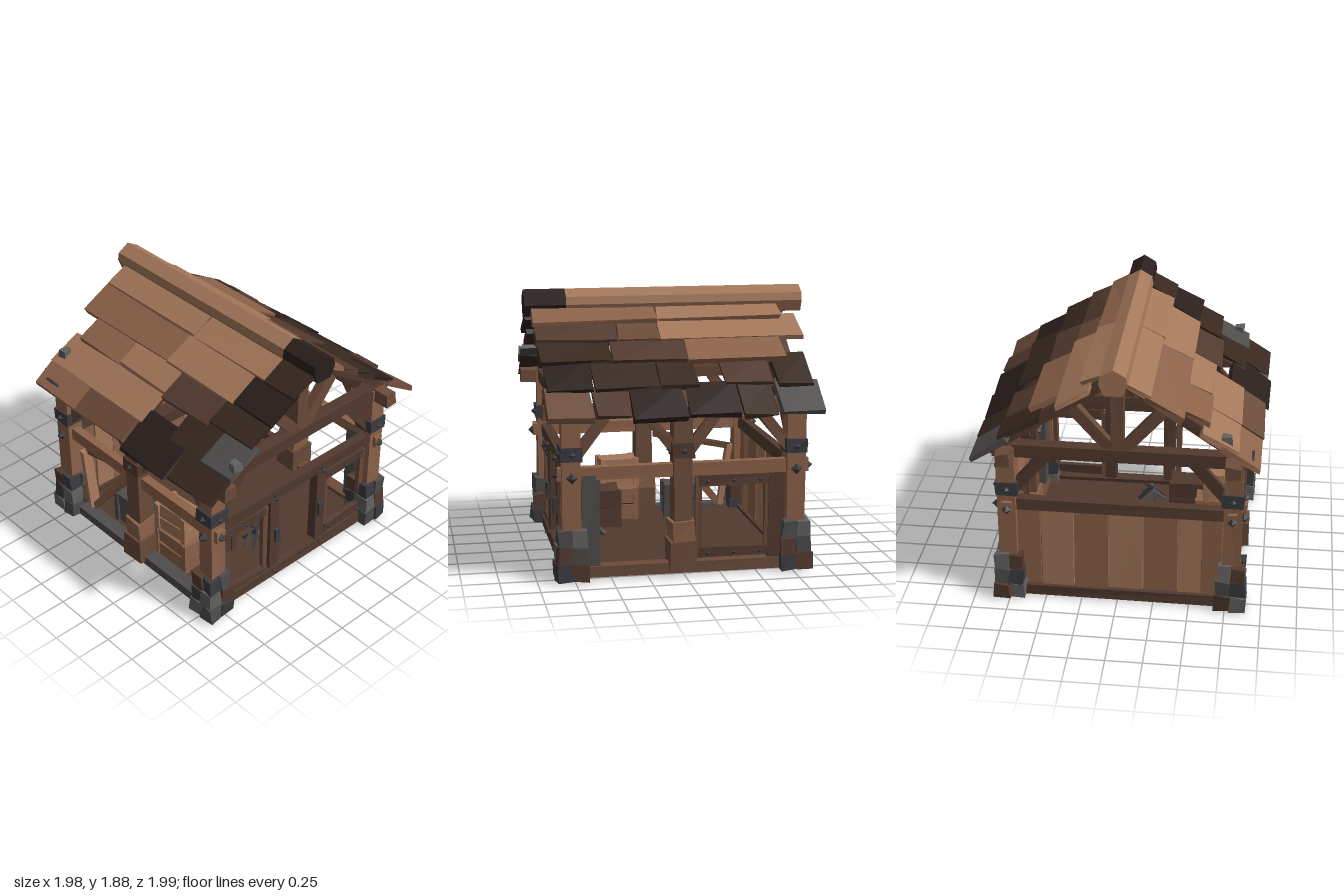
import * as THREE from 'three';

const C = { tan: 0xa4775a, warm: 0x8c6249, mid: 0x6b4b3a, brown: 0x523a2f, dark: 0x38281f, deep: 0x2b1f1c,
  grey: 0x4f4d4c, stone: 0x626160, iron: 0x3c3b40 };
const mats = {};
const mat = (c) => (mats[c] ??= new THREE.MeshStandardMaterial({ color: c, flatShading: true }));

let seed = 7;
const rnd = () => { // seeded, range -1..1
  seed = (seed * 16807) % 2147483647;
  return (seed / 2147483647) * 2 - 1;
};

// Box with each of its eight corners nudged, for a hand-hewn look
function roughBox(w, h, d, j) {
  const g = new THREE.BoxGeometry(w, h, d).toNonIndexed(), p = g.attributes.position;
  const off = Array.from({ length: 8 }, () => [rnd() * j, rnd() * j, rnd() * j]);
  for (let i = 0; i < p.count; i++) {
    const o = off[(p.getX(i) > 0) + 2 * (p.getY(i) > 0) + 4 * (p.getZ(i) > 0)];
    p.setXYZ(i, p.getX(i) + o[0], p.getY(i) + o[1], p.getZ(i) + o[2]);
  }
  g.computeVertexNormals();
  return g;
}

function block(parent, name, [x, y, z], [w, h, d], color, j = 0.006) {
  const m = new THREE.Mesh(roughBox(w, h, d, j), mat(color));
  m.name = name;
  m.position.set(x, y, z);
  parent.add(m);
  return m;
}

// Timber running from a to b; w is its width, h its depth
function beam(parent, name, a, b, w, h, color, j = 0.006) {
  const A = new THREE.Vector3(...a), B = new THREE.Vector3(...b);
  const m = block(parent, name, [0, 0, 0], [w, h, A.distanceTo(B)], color, j);
  m.position.copy(A).add(B).multiplyScalar(0.5);
  m.lookAt(B);
  return m;
}

function part(parent, name) {
  const g = new THREE.Group();
  g.name = name;
  parent.add(g);
  return g;
}

function rivet(parent, x, y, z, r = 0.025, color = C.iron) {
  const m = new THREE.Mesh(new THREE.OctahedronGeometry(r), mat(color));
  m.name = 'rivet';
  m.position.set(x, y, z);
  parent.add(m);
}

// Corner base: three courses of four chunky stones
function stoneBase(parent, x, z) {
  const g = part(parent, 'stoneBase');
  const tones = [C.stone, C.grey, C.brown, C.iron];
  for (let r = 0; r < 3; r++) {
    const s = 0.11 - r * 0.008;
    for (let i = 0; i < 4; i++) {
      block(g, 'stone', [x + (i % 2 ? 1 : -1) * s / 2, 0.085 + r * 0.115, z + (i < 2 ? 1 : -1) * s / 2],
        [s, 0.115, s], tones[(i + r * 3) % 4], 0.011);
    }
  }
}

function post(parent, x, z, corner) {
  const g = part(parent, corner ? 'cornerPost' : 'middlePost');
  beam(g, 'postTimber', [x, 0.04, z], [x, 1.2, z], 0.125, 0.125, corner ? C.warm : C.mid);
  if (corner) stoneBase(g, x, z);
  else {
    block(g, 'postFoot', [x, 0.16, z], [0.19, 0.2, 0.19], C.mid, 0.012);
    block(g, 'postFootUpper', [x, 0.33, z], [0.165, 0.14, 0.17], C.warm, 0.015);
  }
  block(g, 'collar', [x, 0.885, z], [0.15, 0.1, 0.15], corner ? C.iron : C.brown, 0.006);
  for (const s of [-1, 1]) {
    rivet(g, x, 0.885, z + s * 0.08);
    rivet(g, x + s * 0.08, 0.885, z);
  }
}

// Rectangular frame with riveted rails; p maps (u along wall, y, outward offset) to a position
function wallFrame(parent, p, u0, u1, y0, y1) {
  const g = part(parent, 'wallFrame');
  for (const y of [y0, y1]) {
    beam(g, 'frameRail', p(u0, y, 0.01), p(u1, y, 0.01), 0.04, 0.07, C.brown);
    for (const t of [0.12, 0.5, 0.88]) rivet(g, ...p(u0 + (u1 - u0) * t, y, 0.035), 0.018);
  }
  for (const u of [u0, u1]) beam(g, 'frameStile', p(u, y0 - 0.03, 0), p(u, y1 + 0.03, 0), 0.04, 0.04, C.mid);
}

// Slatted crate standing on y
function crate(parent, x, y, z, w, h, d, color, turn = 0) {
  const g = part(parent, 'crate');
  g.position.set(x, y, z);
  g.rotation.y = turn;
  block(g, 'crateCore', [0, h / 2, 0], [w - 0.03, h - 0.02, d - 0.03], C.dark, 0);
  for (const t of [0.25, 0.75]) block(g, 'crateSlats', [0, h * t, 0], [w, h * 0.47, d], color);
  for (const sx of [-1, 1]) for (const sz of [-1, 1]) {
    block(g, 'crateCorner', [sx * w * 0.46, h / 2, sz * d * 0.46], [0.04, h, 0.04], color, 0.004);
  }
}

// Roof surface height at distance z from the ridge
const roofY = (z) => 1.8 - 0.68 * Math.abs(z);

// One course of roof boards, lifted at its lower edge; boards are [x0, x1, color]
function course(parent, side, z0, z1, lift, boards) {
  for (const [x0, x1, color] of boards) {
    const x = (x0 + x1) / 2, a = z1 + rnd() * 0.02;
    beam(parent, 'roofBoard', [x, roofY(z0), side * z0], [x, roofY(a) + lift + rnd() * 0.008, side * a],
      x1 - x0 - 0.008, 0.034, color, 0.011);
  }
}

export function createModel() {
  seed = 7;
  const model = new THREE.Group();
  model.name = 'timberShed';
  const X = 0.765, FRONT = 0.785, BACK = -0.75;

  // Floor and sills
  const base = part(model, 'base');
  block(base, 'floor', [0, 0.055, 0.015], [1.6, 0.05, 1.58], C.brown, 0);
  for (const z of [FRONT, BACK]) beam(base, 'sill', [-0.82, 0.07, z], [0.82, 0.07, z], 0.1, 0.08, z > 0 ? C.grey : C.mid);
  for (const x of [-X, X]) beam(base, 'sill', [x, 0.07, BACK], [x, 0.07, FRONT], 0.1, 0.08, C.brown);

  // Posts, rails, plates, ties and knee braces
  const frame = part(model, 'timberFrame');
  for (const s of [-1, 1]) {
    const z = s > 0 ? FRONT : BACK;
    for (const x of [-X, 0.015, X]) post(frame, x, z, Math.abs(x) === X);
    beam(frame, 'sideRail', [-0.86, 0.75, z], [0.86, 0.75, z], 0.07, 0.085, C.warm);
    beam(frame, 'gableRail', [s * X, 0.75, BACK], [s * X, 0.75, FRONT], 0.07, 0.085, C.brown);
    beam(frame, 'wallPlate', [-0.95, 1.165, z], [0.95, 1.165, z], 0.1, 0.09, C.mid, 0.01);
    for (const e of [-1, 1]) {
      rivet(frame, e * 0.86, 0.74, z, 0.035);
      rivet(frame, e * X, 0.73, z + s * 0.075, 0.04);
      beam(frame, 'kneeBrace', [e * 0.72, 0.88, z], [e * 0.53, 1.12, z], 0.06, 0.07, C.mid);
      beam(frame, 'kneeBrace', [0.015 + e * 0.05, 0.88, z], [0.015 + e * 0.24, 1.12, z], 0.06, 0.07, C.mid);
      beam(frame, 'kneeBrace', [e * X, 0.88, z - s * 0.05], [e * X, 1.14, z - s * 0.27], 0.06, 0.075, C.brown);
    }
  }

  // Roof trusses
  const trusses = part(model, 'trusses');
  for (const x of [-X, 0.015, X]) {
    beam(trusses, 'tieBeam', [x, 1.17, -0.84], [x, 1.17, 0.86], 0.1, 0.09, C.brown);
    beam(trusses, 'kingPost', [x, 1.2, 0], [x, 1.76, 0], 0.08, 0.09, C.mid, 0.01);
    for (const s of [-1, 1]) {
      beam(trusses, 'strut', [x, 1.22, s * 0.05], [x, 1.51, s * 0.3], 0.07, 0.08, C.mid);
      beam(trusses, 'rafter', [x, 1.765, 0], [x, 1.17, s * 0.87], 0.085, 0.075, C.brown);
    }
  }

  // Solid plank wall
  const wall = part(model, 'plankWall');
  const edges = [-0.7, -0.53, -0.3, -0.06, 0.18, 0.42, 0.58, 0.72];
  for (let i = 0; i < edges.length - 1; i++) {
    block(wall, 'wallPlank', [-X + rnd() * 0.006, 0.4, (edges[i] + edges[i + 1]) / 2],
      [0.035, 0.67, edges[i + 1] - edges[i] - 0.006], i % 2 ? C.tan : C.warm, 0.004);
  }

  // Doorway and riveted frames in the open walls
  const walls = part(model, 'openWalls');
  const side = (u, y, o) => [X + o, y, u], back = (u, y, o) => [u, y, BACK - o];
  for (const z of [0.23, -0.23]) {
    beam(walls, 'doorPost', [X, 0.06, z], [X, 0.73, z], 0.07, 0.085, C.brown);
    block(walls, 'doorHinge', [X + 0.045, 0.4, z - Math.sign(z) * 0.015], [0.03, 0.12, 0.045], C.iron);
    for (const y of [0.08, 0.74]) rivet(walls, X + 0.05, y, z, 0.025);
  }
  wallFrame(walls, side, 0.3, 0.69, 0.1, 0.645);
  wallFrame(walls, side, -0.29, -0.67, 0.155, 0.645);
  wallFrame(walls, back, -0.58, -0.1, 0.16, 0.66);
  beam(walls, 'backDoorPost', [0.64, 0.08, BACK], [0.64, 0.73, BACK], 0.12, 0.06, C.grey);
  beam(walls, 'backDoorPost', [-0.64, 0.08, BACK], [-0.64, 0.73, BACK], 0.11, 0.06, C.brown);

  // Leaning boards in the front bay
  const lean = part(model, 'leaningBoards');
  beam(lean, 'uprightBoard', [-0.59, 0.1, 0.74], [-0.66, 0.58, 0.74], 0.07, 0.04, C.tan);
  beam(lean, 'diagonalBoard', [-0.57, 0.12, 0.74], [-0.1, 0.7, 0.74], 0.04, 0.055, C.warm);
  beam(lean, 'crossBoard', [-0.66, 0.57, 0.72], [-0.06, 0.69, 0.72], 0.03, 0.045, C.mid);

  // Stored crates and a heap of sticks
  const goods = part(model, 'goods');
  crate(goods, -0.25, 0.08, 0.6, 0.27, 0.25, 0.18, C.grey);
  crate(goods, 0.26, 0.08, 0.6, 0.31, 0.24, 0.24, C.warm);
  crate(goods, 0.24, 0.32, 0.62, 0.28, 0.22, 0.17, C.tan, 0.08);
  crate(goods, 0.36, 0.08, 0.41, 0.17, 0.28, 0.26, C.brown);
  for (let i = 0; i < 7; i++) {
    const a = i * 0.9;
    beam(goods, 'stick', [0.5 + Math.cos(a) * 0.09, 0.085, 0.12 + Math.sin(a) * 0.1],
      [0.51 + rnd() * 0.05, 0.18 + rnd() * 0.04, 0.12 + rnd() * 0.05], 0.022, 0.022, i % 2 ? C.iron : C.grey);
  }

  // Roof boards, course by course from the ridge down
  const roof = part(model, 'roof');
  const { tan, warm, mid, brown, dark, deep, grey } = C;
  course(roof, 1, 0.04, 0.25, 0.045, [[-0.93, 0, tan], [0, 0.7, tan], [0.7, 0.97, dark]]);
  course(roof, 1, 0.2, 0.44, 0.035, [[-0.94, -0.06, warm], [-0.06, 0.6, tan], [0.6, 0.97, deep]]);
  course(roof, 1, 0.36, 0.62, 0.035, [[-0.8, -0.38, warm], [-0.38, 0.1, tan], [0.1, 0.55, brown], [0.55, 0.94, dark]]);
  course(roof, 1, 0.56, 0.8, 0.03, [[-0.9, -0.5, tan], [-0.5, 0.08, tan], [0.36, 0.68, dark], [0.68, 0.96, grey]]);
  course(roof, 1, 0.7, 0.965, 0, [[-0.91, -0.46, warm], [-0.46, 0.06, mid], [0.06, 0.52, deep], [0.52, 0.95, dark]]);
  course(roof, -1, 0.04, 0.24, 0.035, [[-0.8, 0.08, tan], [0.08, 0.95, warm]]);
  course(roof, -1, 0.16, 0.4, 0.035, [[-0.92, 0.09, tan], [0.09, 0.38, mid], [0.38, 0.95, brown]]);
  course(roof, -1, 0.32, 0.57, 0.035, [[-0.75, -0.07, warm], [-0.07, 0.45, brown], [0.45, 0.94, dark]]);
  course(roof, -1, 0.5, 0.78, 0.03,
    [[-0.89, -0.64, dark], [-0.62, -0.28, brown], [-0.11, 0.16, dark], [0.16, 0.6, dark], [0.6, 0.92, deep]]);
  course(roof, -1, 0.72, 0.97, 0.005,
    [[-0.92, -0.62, grey], [-0.6, -0.36, dark], [-0.35, 0, deep], [0.01, 0.38, deep], [0.38, 0.62, brown], [0.63, 0.94, mid]]);
  for (const x of [-0.83, 0.93]) block(roof, 'roofBolt', [x, roofY(0.73) + 0.05, 0.73], [0.06, 0.06, 0.06], C.stone, 0.01);
  beam(roof, 'roofStaple', [-0.84, 1.205, 0.9], [-0.7, 1.205, 0.9], 0.02, 0.02, C.iron);

  // Ridge log with a peaked cross-section
  const shape = new THREE.Shape([[-0.095, 1.79], [-0.06, 1.71], [0.06, 1.71], [0.095, 1.79], [0.085, 1.845], [0, 1.895], [-0.085, 1.845]]
    .map(([z, y]) => new THREE.Vector2(z, y)));
  for (const [x0, x1, color] of [[-0.99, 0.7, tan], [0.7, 0.99, deep]]) {
    const g = new THREE.ExtrudeGeometry(shape, { depth: x1 - x0, bevelEnabled: false });
    const ridge = new THREE.Mesh(g, mat(color));
    ridge.name = 'ridgeLog';
    ridge.rotation.y = Math.PI / 2;
    ridge.position.x = x0;
    roof.add(ridge);
  }
  return model;
}
